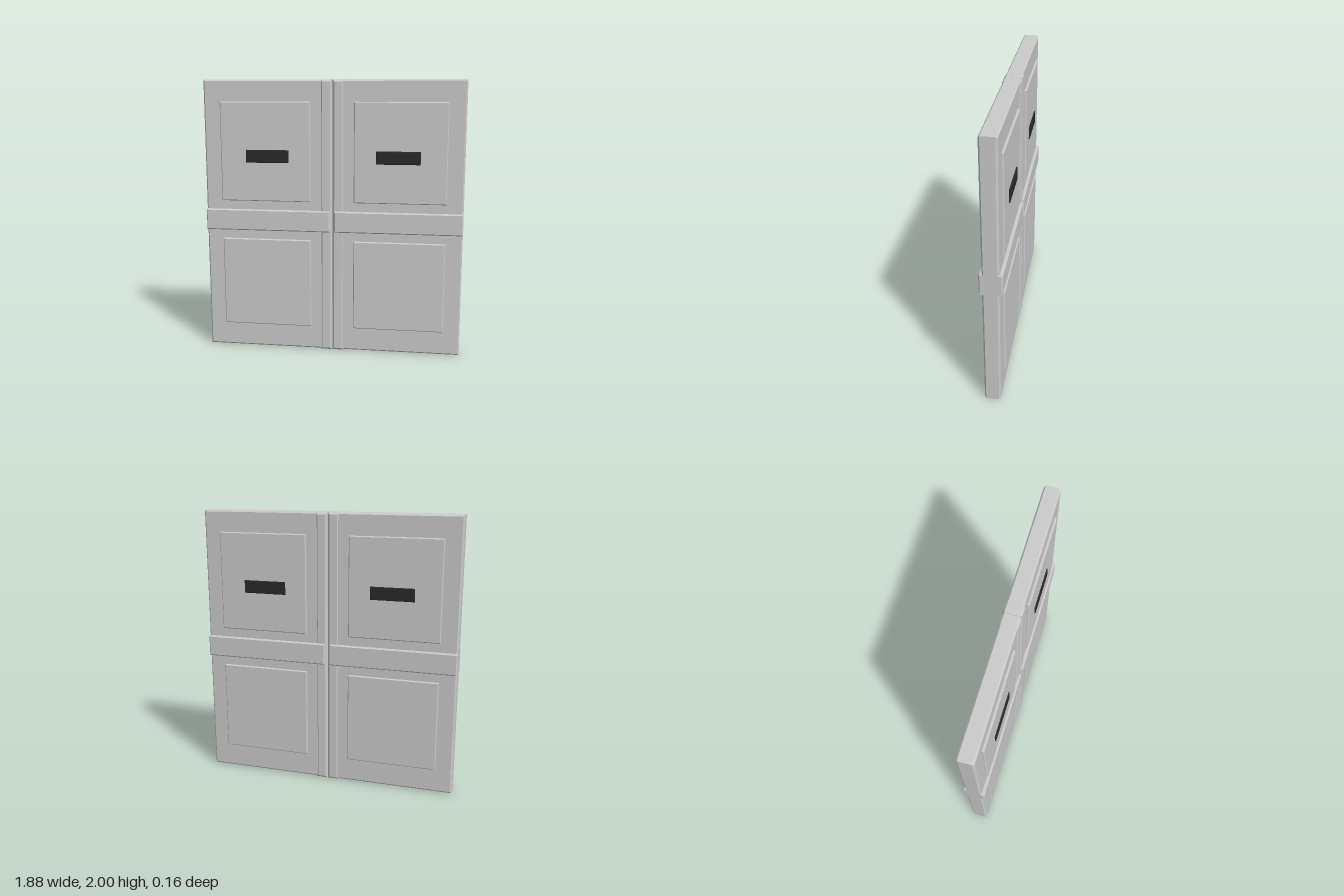
import * as THREE from 'three';

const grey = new THREE.MeshStandardMaterial({ color: 0xcccccc, flatShading: true });
const dark = new THREE.MeshStandardMaterial({ color: 0x2a2a2a, flatShading: true });

// Box between two corners, symmetric in z, with chamfered edges
function chamferBox(name, x0, x1, y0, y1, halfDepth, bevel, material = grey) {
  const shape = new THREE.Shape([
    new THREE.Vector2(x0 + bevel, y0 + bevel),
    new THREE.Vector2(x1 - bevel, y0 + bevel),
    new THREE.Vector2(x1 - bevel, y1 - bevel),
    new THREE.Vector2(x0 + bevel, y1 - bevel),
  ]);
  const depth = 2 * (halfDepth - bevel);
  const geometry = new THREE.ExtrudeGeometry(shape, {
    depth, bevelEnabled: true, bevelSize: bevel, bevelThickness: bevel, bevelSegments: 1,
  });
  geometry.translate(0, 0, -depth / 2);
  const mesh = new THREE.Mesh(geometry, material);
  mesh.name = name;
  return mesh;
}

export function createModel() {
  const group = new THREE.Group();
  group.name = 'doubleDoor';

  for (const [side, s] of [['left', 1], ['right', -1]]) {
    const leaf = new THREE.Group();
    leaf.name = side + 'Leaf';
    const add = (name, x0, x1, ...rest) =>
      leaf.add(chamferBox(name, Math.min(s * x0, s * x1), Math.max(s * x0, s * x1), ...rest));

    // Main slab and the raised strip along the meeting edge
    add('slab', 0.004, 0.94, 0.005, 2, 0.056, 0.011);
    add('meetingStrip', 0.001, 0.087, 0, 2, 0.062, 0.015);

    // Raised panels, showing on both faces
    add('upperPanel', 0.157, 0.818, 1.125, 1.845, 0.07, 0.006);
    add('lowerPanel', 0.157, 0.818, 0.18, 0.84, 0.07, 0.006);

    // Dark window slot in the upper panel
    add('window', 0.315, 0.63, 1.407, 1.5, 0.078, 0.004, dark);

    // Horizontal bar across the middle
    add('crossBar', 0.015, 0.94, 0.905, 1.06, 0.077, 0.008);

    group.add(leaf);
  }
  return group;
}
